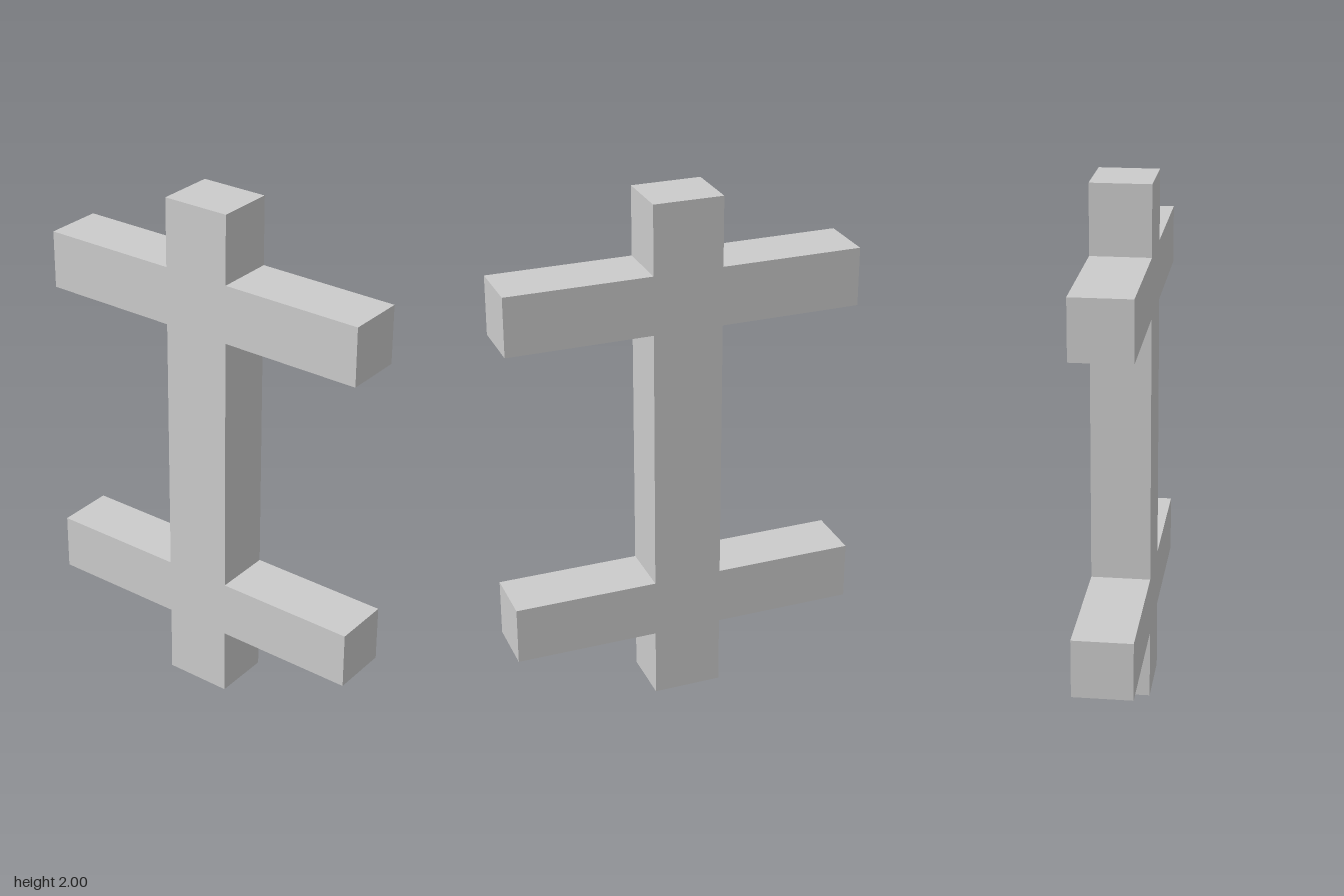
import * as THREE from 'three';

const WIDTH = 0.224;             // thickness along x
const BACK = -0.138, FRONT = 0.126; // post faces along z
const REACH = 0.675;             // arm ends along z
const HEIGHT = 2;
const ARMS = [[0.268, 0.491], [1.513, 1.737]]; // bottom and top of each crossbar

export function createModel() {
  const group = new THREE.Group();
  group.name = 'doubleCrossPost';

  // Side outline (z, y): up the front edge, then down the back edge
  const side = (post, end) => [
    [post, 0],
    ...ARMS.flatMap(([low, high]) => [[post, low], [end, low], [end, high], [post, high]]),
    [post, HEIGHT],
  ];
  const outline = [...side(FRONT, REACH), ...side(BACK, -REACH).reverse()];
  const shape = new THREE.Shape(outline.map(([z, y]) => new THREE.Vector2(z, y)));

  // Post and flush crossbars as one solid, turned so the outline lies along z
  const geometry = new THREE.ExtrudeGeometry(shape, { depth: WIDTH, bevelEnabled: false });
  geometry.translate(0, 0, -WIDTH / 2);
  geometry.rotateY(-Math.PI / 2);

  const material = new THREE.MeshStandardMaterial({ color: 0xcccccc, flatShading: true });
  const post = new THREE.Mesh(geometry, material);
  post.name = 'postWithCrossbars';
  group.add(post);
  return group;
}
